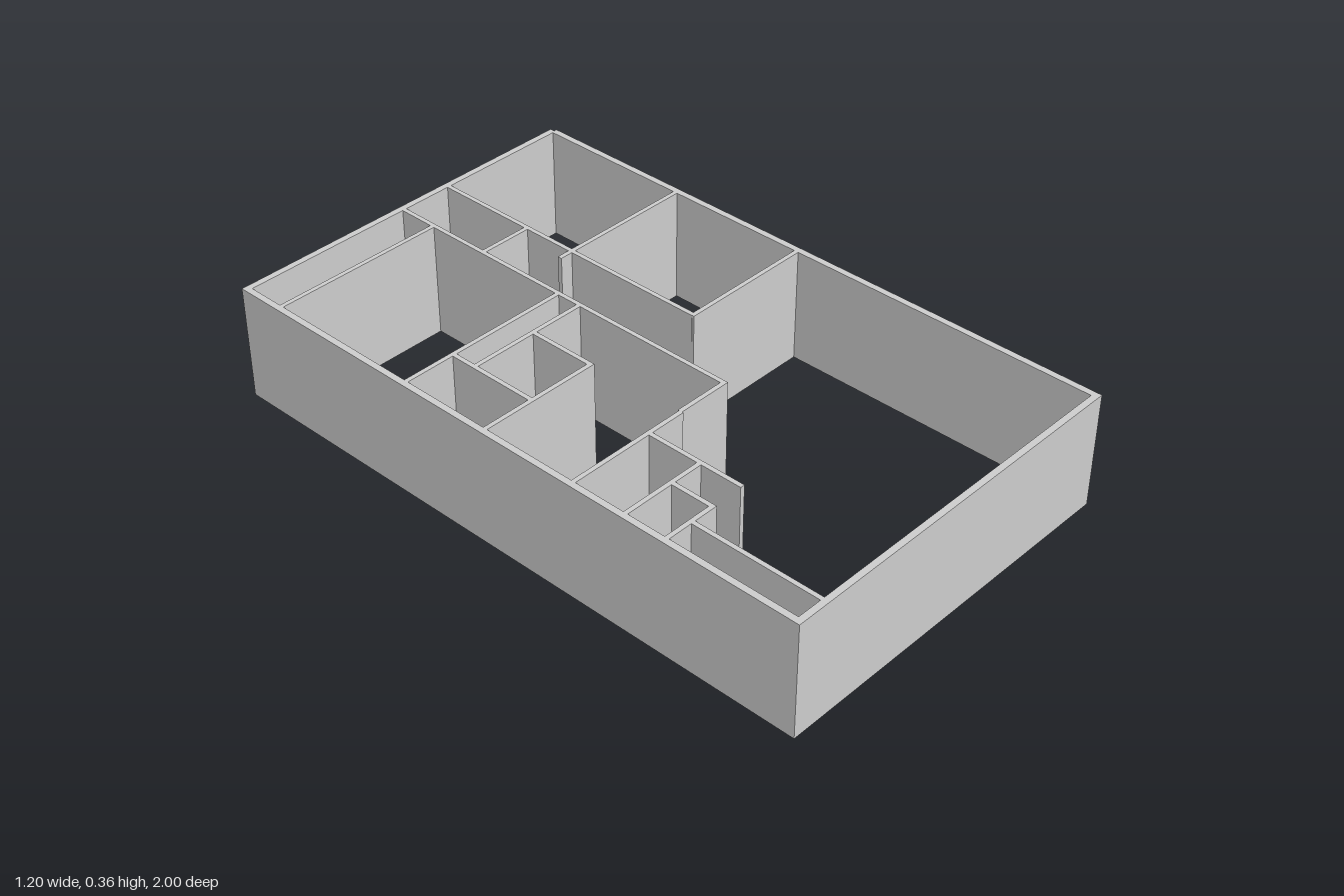
import * as THREE from 'three';

const HEIGHT = 0.36;

export function createModel() {
  const model = new THREE.Group();
  const material = new THREE.MeshStandardMaterial({ color: 0xcccccc, flatShading: true });

  // One full-height wall given by its plan rectangle
  function wall(parent, name, x0, x1, z0, z1) {
    const mesh = new THREE.Mesh(new THREE.BoxGeometry(x1 - x0, HEIGHT, z1 - z0), material);
    mesh.position.set((x0 + x1) / 2, HEIGHT / 2, (z0 + z1) / 2);
    mesh.name = name;
    parent.add(mesh);
  }

  // Outer shell, open above and below, with a small notch at the back left corner
  const outer = new THREE.Group();
  outer.name = 'outerWalls';
  wall(outer, 'backWall', -0.6, 0.59, -1, -0.98);
  wall(outer, 'frontWall', -0.6, 0.6, 0.98, 1);
  wall(outer, 'rightWall', -0.6, -0.58, -0.98, 0.98);
  wall(outer, 'leftWall', 0.58, 0.6, -0.985, 0.98);
  model.add(outer);

  const inner = new THREE.Group();
  inner.name = 'partitions';
  const half = 0.007;

  // Partitions across the width: z, start x, end x
  const crossWalls = [
    [-0.855, -0.58, -0.022],
    [-0.653, -0.022, 0.153],
    [-0.475, 0.105, 0.58],
    [-0.352, -0.58, -0.022],
    [-0.27, -0.415, -0.022],
    [-0.055, -0.58, -0.193],
    [-0.013, 0.147, 0.58],
    [0.258, -0.58, -0.19],
    [0.254, -0.19, -0.015],
    [0.435, -0.58, -0.311],
    [0.571, -0.58, -0.411],
  ];
  for (const [z, x0, x1] of crossWalls) wall(inner, 'crossWall', x0, x1, z - half, z + half);

  // Partitions along the length: x, start z, end z
  const longWalls = [
    [-0.022, -0.98, 0.254],
    [0.153, -0.98, -0.013],
    [-0.415, -0.352, -0.055],
    [-0.2, -0.27, -0.055],
    [-0.311, 0.258, 0.573],
    [-0.418, 0.435, 0.571],
    [-0.495, 0.571, 0.98],
  ];
  for (const [x, z0, z1] of longWalls) wall(inner, 'longWall', x - half, x + half, z0, z1);
  model.add(inner);

  return model;
}
